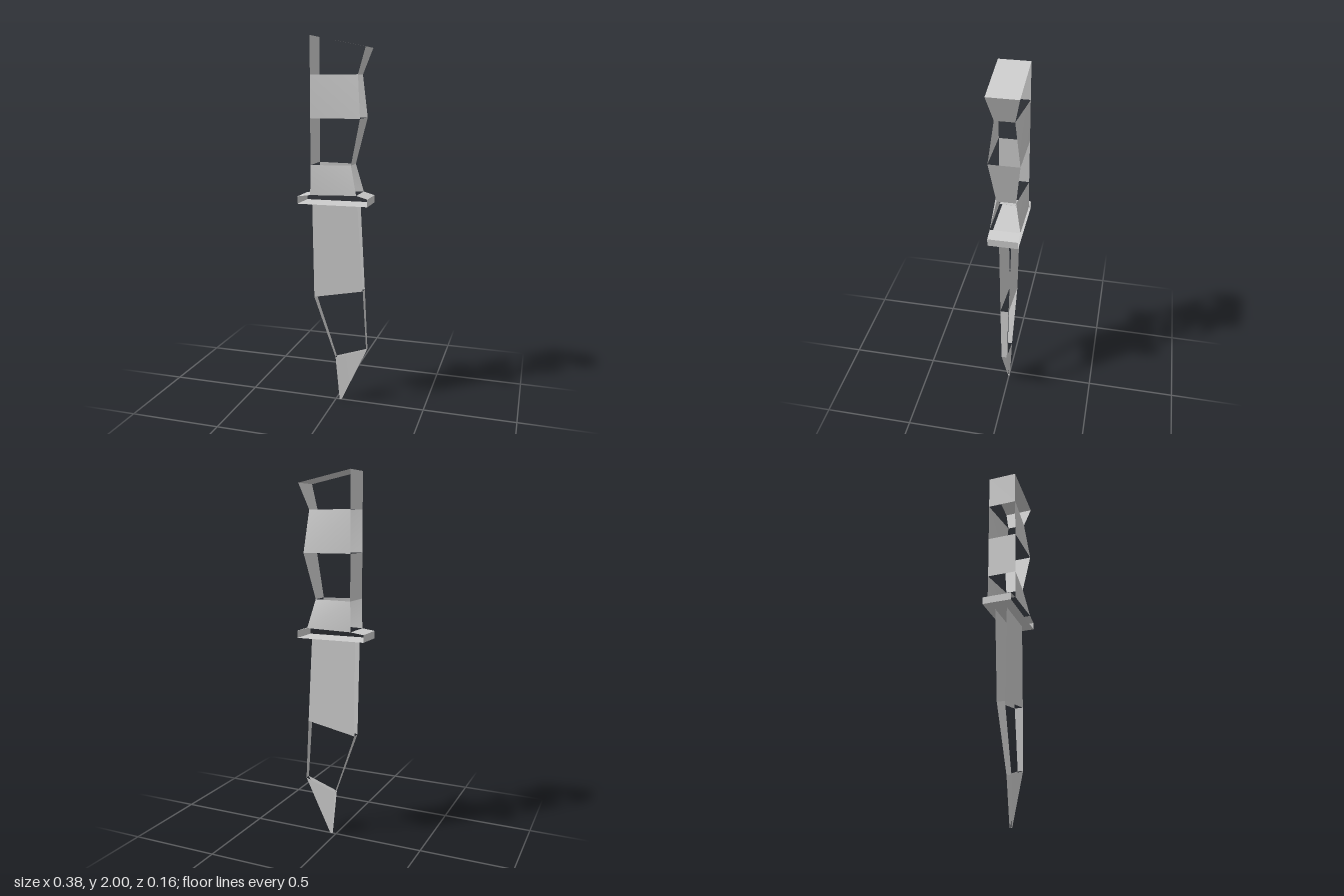
import * as THREE from 'three';

const material = new THREE.MeshStandardMaterial({ color: 0xcccccc, side: THREE.DoubleSide });

// One open sheet from four corners, counter-clockwise seen from outside.
// The diagonal runs from the first corner to the third.
function panel(name, corners) {
  const geometry = new THREE.BufferGeometry();
  geometry.setAttribute('position', new THREE.Float32BufferAttribute(corners.flat(), 3));
  geometry.setIndex([0, 1, 2, 0, 2, 3]);
  geometry.computeVertexNormals();
  const mesh = new THREE.Mesh(geometry, material);
  mesh.name = name;
  return mesh;
}

// A section has a right edge point r and a left edge point l, each [x, y, half depth].
const front = ([x, y, d]) => [x, y, d];
const back = ([x, y, d]) => [x, y, -d];

// Front and back sheets between two sections
function facePair(name, a, b) {
  const group = new THREE.Group();
  group.name = name;
  group.add(
    panel(name + 'Front', [front(a.r), front(b.r), front(b.l), front(a.l)]),
    panel(name + 'Back', [back(b.l), back(b.r), back(a.r), back(a.l)].map((p, i, c) => c[(i + 2) % 4]))
  );
  return group;
}

// Sheet spanning the depth between two edge points
const strip = (name, p, q) => panel(name, [front(p), front(q), back(q), back(p)]);

// Right and left side sheets between two sections
function sidePair(name, a, b) {
  const group = new THREE.Group();
  group.name = name;
  group.add(strip(name + 'Left', a.l, b.l), strip(name + 'Right', b.r, a.r));
  return group;
}

export function createModel() {
  const model = new THREE.Group();
  model.name = 'dagger';

  // Handle: sections from the pommel down, with face and side sheets alternating
  const handle = new THREE.Group();
  handle.name = 'handle';
  const grip = [
    { r: [-0.117, 2.0, 0.08], l: [0.177, 1.94, 0.08] },
    { r: [-0.117, 1.805, 0.08], l: [0.13, 1.805, 0.05] },
    { r: [-0.117, 1.583, 0.08], l: [0.15, 1.583, 0.08] },
    { r: [-0.117, 1.34, 0.08], l: [0.095, 1.34, 0.05] },
    { r: [-0.12, 1.18, 0.08], l: [0.132, 1.187, 0.08] },
  ];
  handle.add(strip('pommelCap', grip[0].r, grip[0].l));
  for (let i = 0; i < 4; i++) {
    const pair = i % 2 ? facePair : sidePair;
    handle.add(pair('grip' + (i + 1), grip[i], grip[i + 1]));
  }
  model.add(handle);

  // Crossguard: open front and back, sloping shoulders beside the handle
  const guard = new THREE.Group();
  guard.name = 'crossguard';
  const top = { r: [-0.192, 1.17, 0.08], l: [0.192, 1.17, 0.08] };
  const bottom = { r: [-0.192, 1.13, 0.08], l: [0.192, 1.13, 0.08] };
  guard.add(
    sidePair('guardEnd', top, bottom),
    sidePair('guardShoulder', grip[4], top),
    strip('guardBottom', bottom.l, bottom.r)
  );
  model.add(guard);

  // Blade: faces, then bare edges, then the faces of the point
  const blade = new THREE.Group();
  blade.name = 'blade';
  const sections = [
    { r: [-0.125, 1.125, 0.033], l: [0.127, 1.125, 0.033] },
    { r: [-0.12, 0.6, 0.022], l: [0.157, 0.655, 0.023] },
    { r: [0, 0.255, 0.013], l: [0.177, 0.315, 0.015] },
    { r: [0.022, 0, 0.005], l: [0.034, 0.004, 0.005] },
  ];
  blade.add(
    facePair('bladeFace', sections[0], sections[1]),
    sidePair('bladeEdge', sections[1], sections[2]),
    facePair('bladePoint', sections[2], sections[3]),
    strip('bladeTip', sections[3].l, sections[3].r)
  );
  model.add(blade);

  return model;
}
